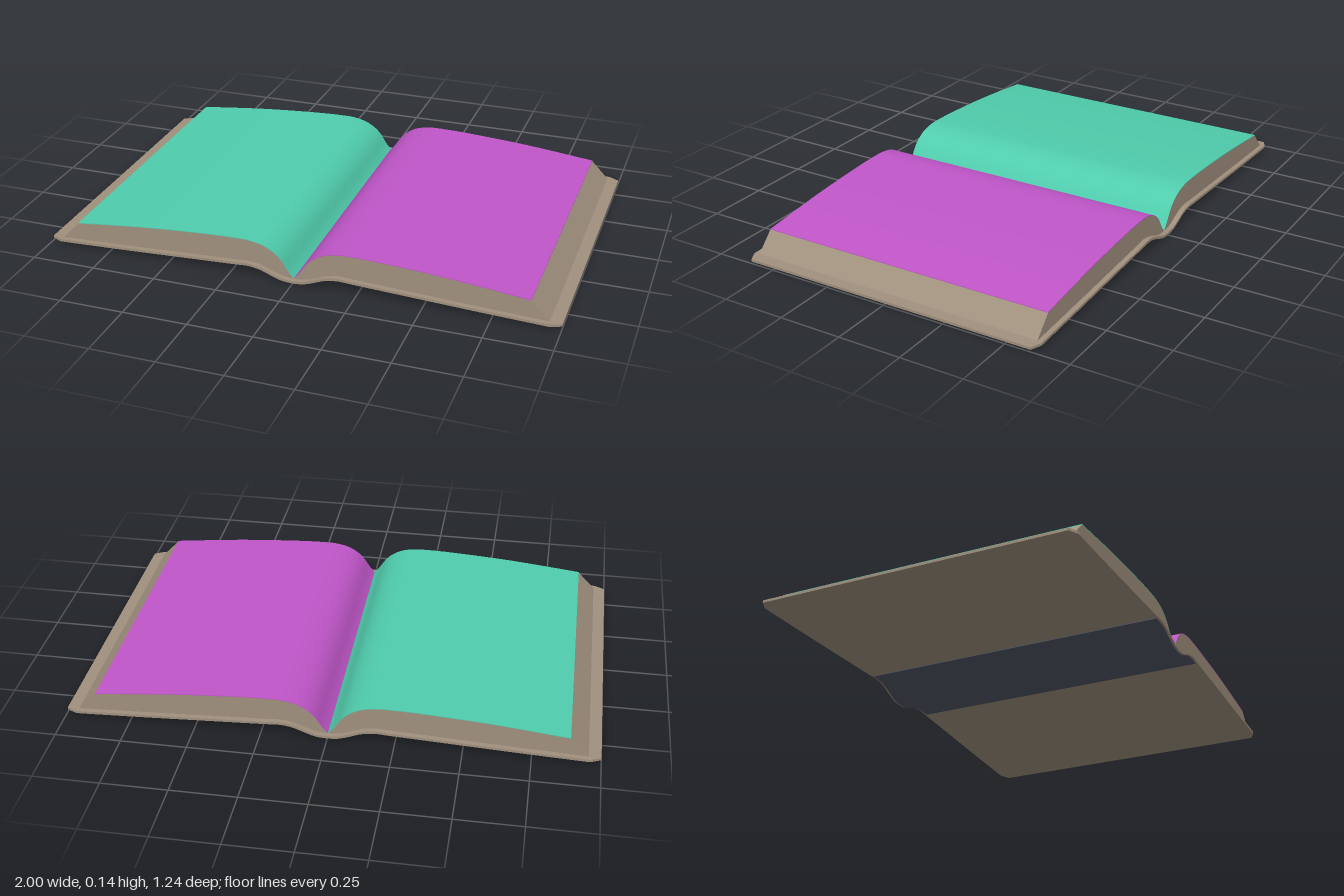
import * as THREE from 'three';

const V = (x, y) => new THREE.Vector2(x, y);
// Height profiles from the gutter outwards, the same on both halves
const TOP = new THREE.SplineCurve([
  V(0, 0.012), V(0.02, 0.035), V(0.05, 0.08), V(0.08, 0.108), V(0.12, 0.129), V(0.17, 0.14),
  V(0.22, 0.142), V(0.35, 0.138), V(0.6, 0.121), V(0.885, 0.091)]).getPoints(90);
const BASE = new THREE.SplineCurve([
  V(0, 0.008), V(0.04, 0.011), V(0.08, 0.024), V(0.13, 0.043), V(0.18, 0.05), V(0.23, 0.047),
  V(0.4, 0.039), V(0.7, 0.025), V(1, 0.013)]).getPoints(90);

function heightAt(points, x) {
  const ax = Math.abs(x);
  let i = 1;
  while (i < points.length - 1 && points[i].x < ax) i++;
  const a = points[i - 1], b = points[i];
  return a.y + (b.y - a.y) * Math.min(1, (ax - a.x) / (b.x - a.x));
}

// Thin curved sheet that follows a profile between x0 and x1
function sheet(x0, x1, points, offset, thickness, halfDepth, segments) {
  const g = new THREE.BoxGeometry(x1 - x0, thickness, 2, segments, 1, 1);
  g.translate((x0 + x1) / 2, 0, 0);
  const p = g.attributes.position;
  for (let i = 0; i < p.count; i++) {
    const x = p.getX(i);
    p.setY(i, p.getY(i) + heightAt(points, x) + offset);
    p.setZ(i, p.getZ(i) * halfDepth(x));
  }
  g.computeVertexNormals();
  return g;
}

export function createModel() {
  const book = new THREE.Group();
  book.name = 'openBook';
  const tan = new THREE.MeshStandardMaterial({ name: 'tan paper and cover', color: 0xa0907d });
  const green = new THREE.MeshStandardMaterial({ name: 'green page', color: 0x50cdad });
  const magenta = new THREE.MeshStandardMaterial({ name: 'magenta page', color: 0xc056c9 });
  const navy = new THREE.MeshStandardMaterial({ name: 'navy spine', color: 0x4f5563 });
  const add = (name, geometry, material) => {
    const mesh = new THREE.Mesh(geometry, material);
    mesh.name = name;
    book.add(mesh);
  };

  // Cover with clipped outer corners
  const coverDepth = x => 0.62 - Math.max(0, Math.abs(x) - 0.96) * 0.5;
  add('cover', sheet(-1, 1, BASE, 0, 0.01, coverDepth, 100), tan);

  // Dark spine strip under the gutter
  add('spine', sheet(-0.22, 0.22, BASE, -0.004, 0.008, () => 0.612, 44), navy);

  // Page blocks with sloping fore edges, each topped by a coloured page
  for (const [side, name, material] of [[-1, 'right', green], [1, 'left', magenta]]) {
    const outline = [
      ...TOP,
      V(0.958, 0.016),
      ...BASE.filter(p => p.x < 0.95).reverse().map(p => V(p.x, p.y + 0.001)),
    ].map(p => V(p.x * side, p.y));
    const block = new THREE.ExtrudeGeometry(new THREE.Shape(outline), { depth: 1.2, bevelEnabled: false });
    block.translate(0, 0, -0.6);
    add(name + 'PageBlock', block, tan);

    const x0 = side < 0 ? -0.885 : 0, x1 = side < 0 ? 0 : 0.885;
    add(name + 'Page', sheet(x0, x1, TOP, 0.001, 0.003, () => 0.6, 90), material);
  }
  return book;
}
